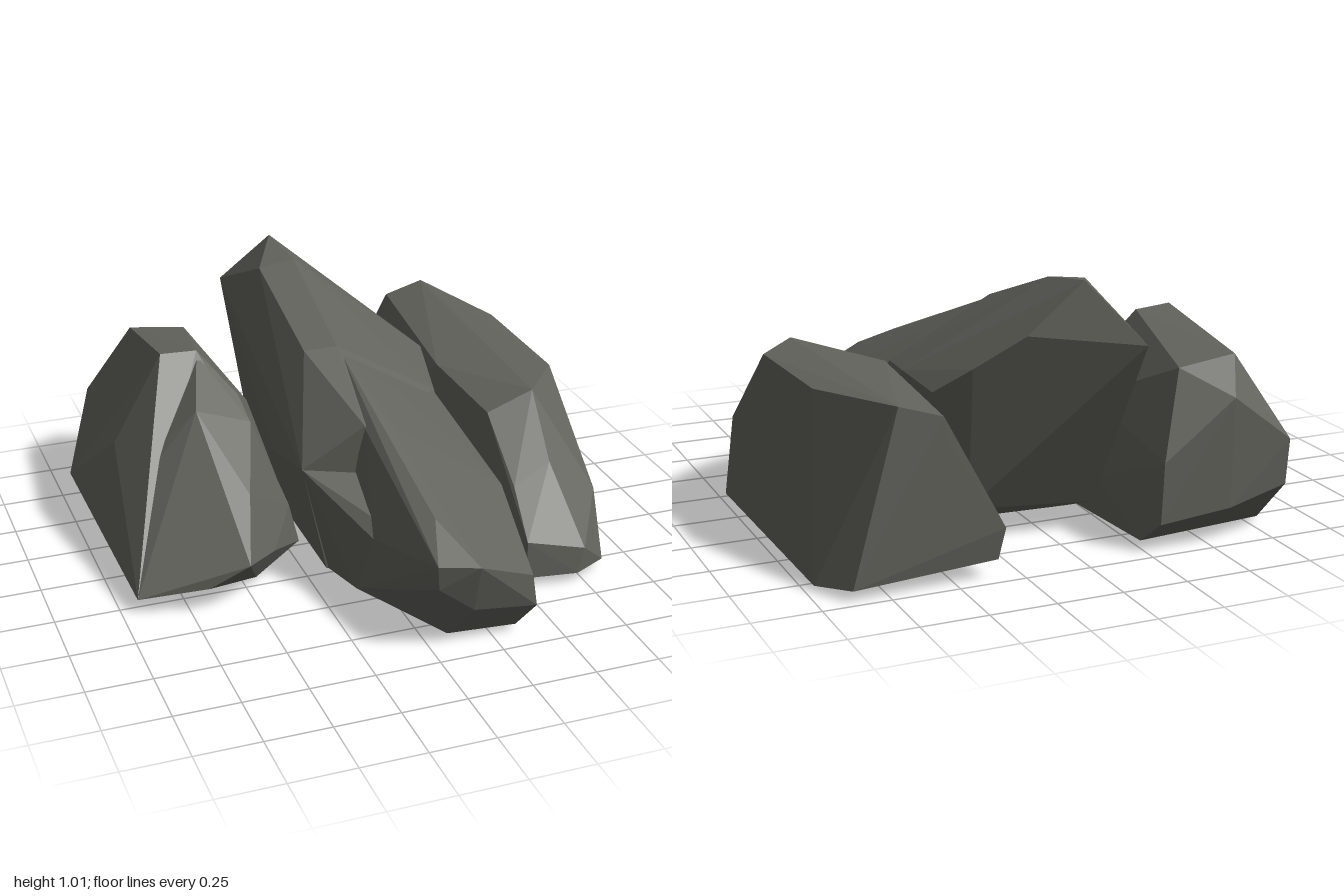
import * as THREE from 'three';
import { ConvexGeometry } from 'three/addons/geometries/ConvexGeometry.js';

// Faceted chunk of stone spanned by its corner points
function chunk(name, corners, material) {
  const geometry = new ConvexGeometry(corners.map((p) => new THREE.Vector3(...p)));
  const mesh = new THREE.Mesh(geometry, material);
  mesh.name = name;
  return mesh;
}

function boulder(name, parts, material) {
  const group = new THREE.Group();
  group.name = name;
  for (const [part, corners] of Object.entries(parts)) group.add(chunk(part, corners, material));
  return group;
}

export function createModel() {
  const stone = new THREE.MeshStandardMaterial({ color: 0x62625c });
  stone.name = 'dark grey stone';
  const model = new THREE.Group();
  model.name = 'rockCluster';

  // Low boulder on the -x side: body with a raised crest and a sloping toe
  model.add(boulder('lowBoulder', {
    lowBoulderBody: [
      [-0.65, 0.77, -0.35], [-0.50, 0.76, -0.36], [-0.65, 0.69, -0.85], [-0.42, 0.66, -0.85],
      [-0.57, 0.57, -1.00], [-0.82, 0.38, -0.98], [-0.30, 0.35, -0.98], [-0.29, 0.12, -0.98],
      [-0.57, 0.15, -0.99], [-0.82, 0.20, -0.96], [-1.00, 0.21, -0.55], [-0.86, 0.43, -0.32],
      [-0.35, 0.57, -0.30], [-0.27, 0.47, -0.45], [-0.22, 0.20, -0.60], [-0.24, 0.20, -0.05],
      [-0.20, 0.03, -0.10], [-0.25, 0.04, -0.90], [-0.79, 0.03, -0.82], [-0.94, 0.06, -0.56],
      [-0.80, 0.03, 0.10], [-0.94, 0.07, 0.30],
    ],
    lowBoulderToe: [
      [-0.58, 0.62, -0.10], [-0.50, 0.74, -0.36], [-0.76, 0.46, -0.12], [-0.82, 0.38, -0.05],
      [-0.94, 0.07, 0.30], [-0.68, 0.11, 0.38], [-0.53, 0.20, 0.42], [-0.38, 0.15, 0.25],
      [-0.36, 0.54, -0.10], [-0.24, 0.20, 0.00], [-0.20, 0.03, 0.00], [-0.80, 0.03, 0.22],
      [-0.45, 0.03, 0.22], [-0.46, 0.38, 0.20], [-0.80, 0.03, -0.40], [-0.30, 0.03, -0.40],
    ],
  }, stone));

  // Tall central boulder: overhanging rear peak, a long front tongue and a low side shoulder
  model.add(boulder('tallBoulder', {
    tallBoulderPeak: [
      [-0.03, 1.02, -0.86], [-0.21, 0.80, -1.00], [-0.15, 0.97, -0.62], [0.00, 0.99, -0.63],
      [0.17, 0.83, -0.82], [0.33, 0.70, -0.71], [0.44, 0.60, -0.60], [0.47, 0.63, -0.38],
      [-0.13, 0.80, -0.12], [0.00, 0.81, -0.10], [0.18, 0.74, -0.22], [0.40, 0.58, -0.06],
      [-0.25, 0.45, 0.20], [-0.02, 0.63, 0.27], [0.02, 0.40, 0.30], [-0.21, 0.70, -0.60],
      [-0.24, 0.35, -0.20], [-0.18, 0.12, -0.65], [-0.17, 0.04, -0.45], [-0.17, 0.03, 0.25],
      [0.30, 0.14, -0.60], [0.37, 0.04, -0.42], [0.46, 0.04, 0.30],
    ],
    tallBoulderTongue: [
      [0.15, 0.37, 1.00], [0.00, 0.38, 0.96], [0.01, 0.28, 0.95], [0.40, 0.14, 0.95],
      [0.38, 0.27, 0.95], [0.15, 0.17, 0.95], [0.06, 0.475, 0.78], [0.10, 0.62, 0.32],
      [-0.02, 0.62, 0.27], [0.20, 0.65, 0.07], [0.40, 0.57, -0.06], [0.01, 0.79, -0.08],
      [0.46, 0.40, 0.48], [0.46, 0.06, 0.50], [-0.09, 0.30, 0.55], [-0.12, 0.04, 0.45],
      [0.08, 0.04, 0.87], [0.35, 0.03, 0.88], [-0.12, 0.04, -0.10], [0.46, 0.04, -0.10],
    ],
    tallBoulderShoulder: [
      [-0.25, 0.45, 0.20], [0.00, 0.44, 0.30], [-0.09, 0.30, 0.55], [-0.12, 0.04, 0.45],
      [-0.17, 0.03, 0.22], [0.10, 0.04, 0.30], [0.05, 0.30, 0.70],
    ],
  }, stone));

  // Long flat-topped boulder on the +x side
  model.add(boulder('longBoulder', {
    longBoulderBody: [
      [0.71, 0.68, -0.97], [0.55, 0.63, -0.98], [0.54, 0.54, -0.98], [0.32, 0.20, -0.98],
      [0.34, 0.08, -0.96], [0.86, 0.12, -0.97], [0.88, 0.05, -0.97], [0.97, 0.03, -0.82],
      [0.87, 0.65, -0.55], [0.88, 0.64, 0.00], [0.71, 0.64, 0.20], [0.52, 0.57, 0.20],
      [0.47, 0.62, -0.20], [0.31, 0.20, -0.72], [0.99, 0.04, 0.20], [0.65, 0.01, -0.45],
      [0.48, 0.04, 0.00], [0.89, 0.28, 0.42], [0.69, 0.43, 0.42], [0.53, 0.36, 0.45],
      [0.75, 0.15, 0.64], [0.72, 0.05, 0.65], [0.52, 0.20, 0.61], [0.52, 0.05, 0.62],
      [0.86, 0.05, 0.58],
    ],
  }, stone));

  return model;
}
